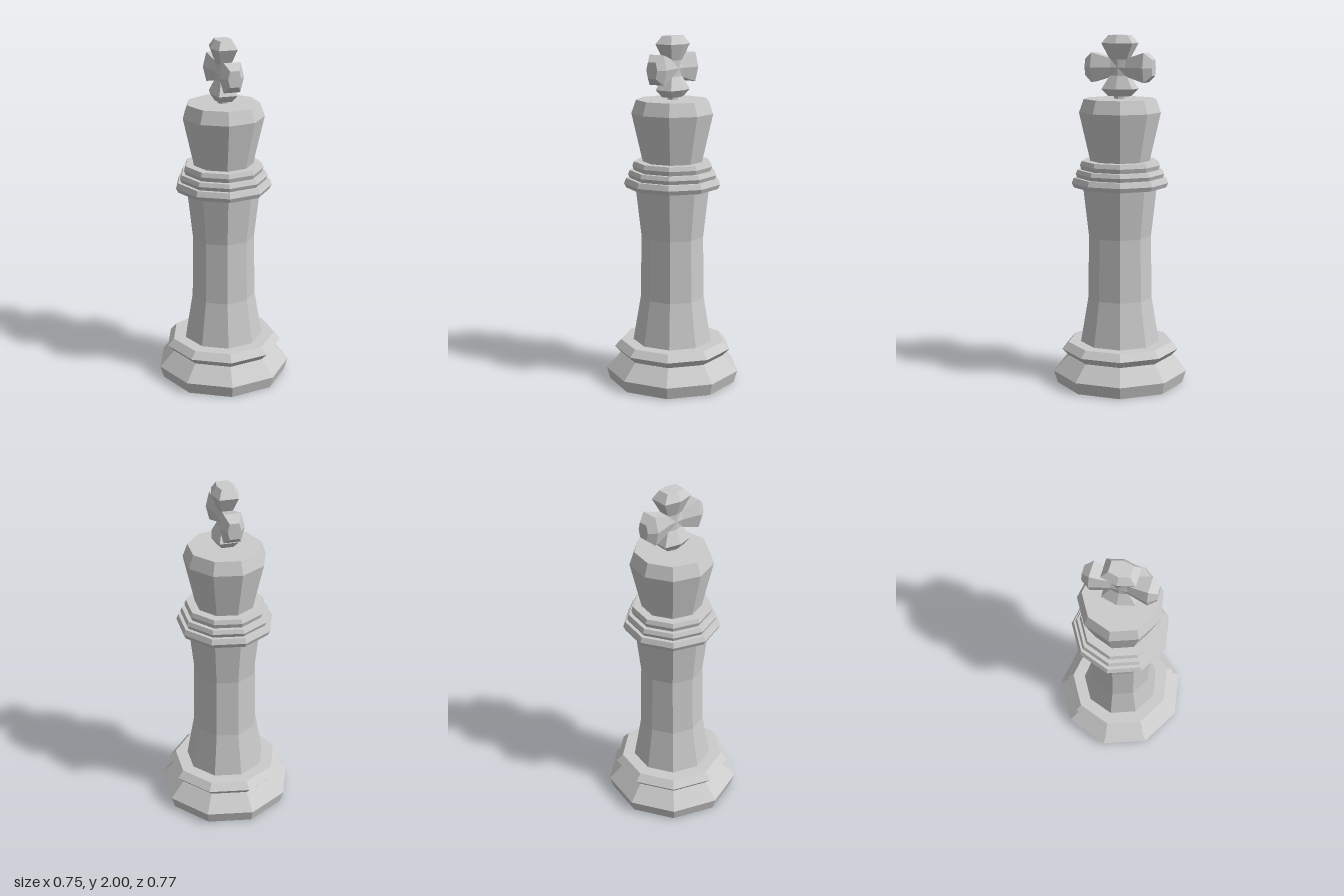
import * as THREE from 'three';

const material = new THREE.MeshStandardMaterial({ color: 0xcccccc, flatShading: true });

// Faceted turned part from [radius, height] pairs, with one corner pointing to -x
function turned(name, profile, sides = 9) {
  const points = profile.map(([r, y]) => new THREE.Vector2(r, y));
  const mesh = new THREE.Mesh(new THREE.LatheGeometry(points, sides, -Math.PI / 2), material);
  mesh.name = name;
  return mesh;
}

// Collar ring with a bevelled rim
function ring(name, y0, y1, y2, rimRadius, edgeRadius) {
  return turned(name, [[0, y0], [edgeRadius, y0], [rimRadius, y1], [edgeRadius, y2], [0, y2]]);
}

// Flared cross arm with a six-sided section: broad across z, thinner along x
function crossArm(name, length, flareAt, flare, tip, angle) {
  const mesh = turned(name, [[0.05, 0], [0.05, 0.045], [flare, flareAt], [tip, length], [0, length]], 6);
  const pos = mesh.geometry.attributes.position;
  for (let i = 0; i < pos.count; i++) {
    const isSidePoint = Math.abs(pos.getZ(i)) < 1e-4;
    pos.setX(i, pos.getX(i) * (isSidePoint ? 0.82 : 1.15));
    pos.setZ(i, pos.getZ(i) / Math.cos(Math.PI / 6));
  }
  mesh.rotation.x = angle;
  return mesh;
}

export function createModel() {
  const model = new THREE.Group();
  model.name = 'chessKing';

  // Base: wide foot and a bevelled step
  model.add(turned('foot', [[0, 0], [0.368, 0], [0.389, 0.07], [0.305, 0.16], [0, 0.16]]));
  model.add(ring('baseStep', 0.16, 0.2, 0.24, 0.34, 0.303));

  // Waisted shaft
  model.add(turned('shaft', [[0.23, 0.24], [0.186, 0.5], [0.18, 0.86], [0.213, 1.15]]));

  // Three stacked collar rings
  model.add(ring('lowerCollar', 1.145, 1.17, 1.2, 0.278, 0.266));
  model.add(ring('middleCollar', 1.2, 1.222, 1.245, 0.255, 0.245));
  model.add(ring('upperCollar', 1.245, 1.27, 1.295, 0.23, 0.221));

  // Flared head with a flat top
  model.add(turned('head', [[0.17, 1.29], [0.234, 1.57], [0.207, 1.645], [0, 1.645]]));
  model.add(turned('crossNeck', [[0.033, 1.64], [0.033, 1.67]], 6));

  // Cross standing in the side plane
  const cross = new THREE.Group();
  cross.name = 'cross';
  cross.position.y = 1.82;
  cross.add(crossArm('topArm', 0.18, 0.135, 0.092, 0.057, 0));
  cross.add(crossArm('bottomArm', 0.16, 0.12, 0.092, 0.057, Math.PI));
  for (const side of [-1, 1]) {
    cross.add(crossArm('sideArm', 0.2, 0.155, 0.083, 0.045, side * Math.PI / 2));
  }
  model.add(cross);

  // Offset that centres the nine-sided outline
  for (const part of model.children) part.position.x = 0.011;
  return model;
}
